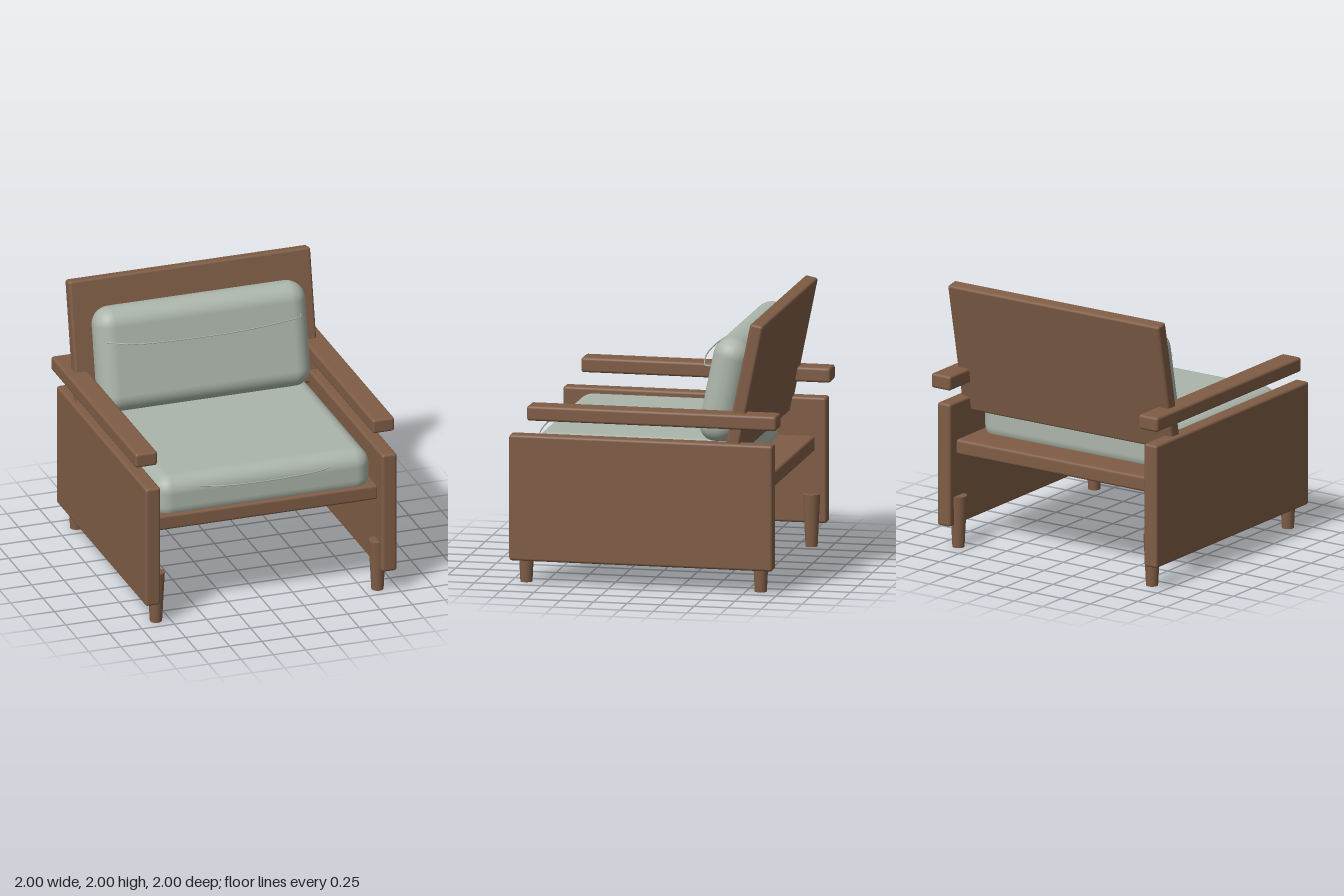
import * as THREE from 'three';
import { RoundedBoxGeometry } from 'three/addons/geometries/RoundedBoxGeometry.js';

export function createModel() {
  const chair = new THREE.Group();
  chair.name = 'armchair';
  const wood = new THREE.MeshStandardMaterial({ color: 0x7f5d46 });
  const fabric = new THREE.MeshStandardMaterial({ color: 0xabb5aa });

  function add(name, geometry, material, x, y, z, tilt = 0) {
    const mesh = new THREE.Mesh(geometry, material);
    mesh.name = name;
    mesh.position.set(x, y, z);
    mesh.rotation.x = tilt;
    chair.add(mesh);
    return mesh;
  }
  const board = (w, h, d) => new RoundedBoxGeometry(w, h, d, 3, 0.02);

  // Side panels, armrests and tapered legs, mirrored
  for (const [side, s] of [['left', 1], ['right', -1]]) {
    add(side + 'Panel', board(0.115, 0.935, 1.965), wood, s * 0.9125, 0.6375, 0.0175);
    add(side + 'Armrest', board(0.17, 0.11, 1.86), wood, s * 0.915, 1.275, -0.07);
    for (const [end, z] of [['Front', 0.893], ['Back', -0.855]]) {
      add(side + end + 'Leg', new THREE.CylinderGeometry(0.065, 0.045, 0.39, 16), wood, s * 0.855, 0.195, z);
    }
  }

  // Seat board and leaning backboard
  const lean = -0.2;
  add('seatBoard', board(1.73, 0.115, 1.765), wood, 0, 0.7625, 0.0025);
  add('backBoard', board(1.865, 1.01, 0.1), wood, 0, 1.495, -0.74, lean);

  // Cushions
  add('seatCushion', new RoundedBoxGeometry(1.66, 0.34, 1.495, 5, 0.12), fabric, 0, 0.92, 0.1175);
  add('backCushion', new RoundedBoxGeometry(1.63, 0.79, 0.28, 5, 0.135), fabric, 0, 1.45, -0.553, lean);

  // Thin piping threads bowed in front of the cushions
  function thread(name, y, points) {
    const curve = new THREE.CatmullRomCurve3(points.map(([x, z]) => new THREE.Vector3(x, 0, z)));
    add(name, new THREE.TubeGeometry(curve, 32, 0.005, 6), fabric, 0, y, 0);
  }
  thread('backCushionThread', 1.632,
    [[-0.77, -0.46], [-0.58, -0.36], [-0.3, -0.325], [0, -0.315], [0.3, -0.33], [0.55, -0.37], [0.73, -0.42], [0.74, -0.46]]);
  thread('seatCushionThread', 1.005,
    [[-0.5, 0.86], [-0.33, 0.91], [0.03, 0.93], [0.4, 0.895], [0.5, 0.86]]);

  return chair;
}
